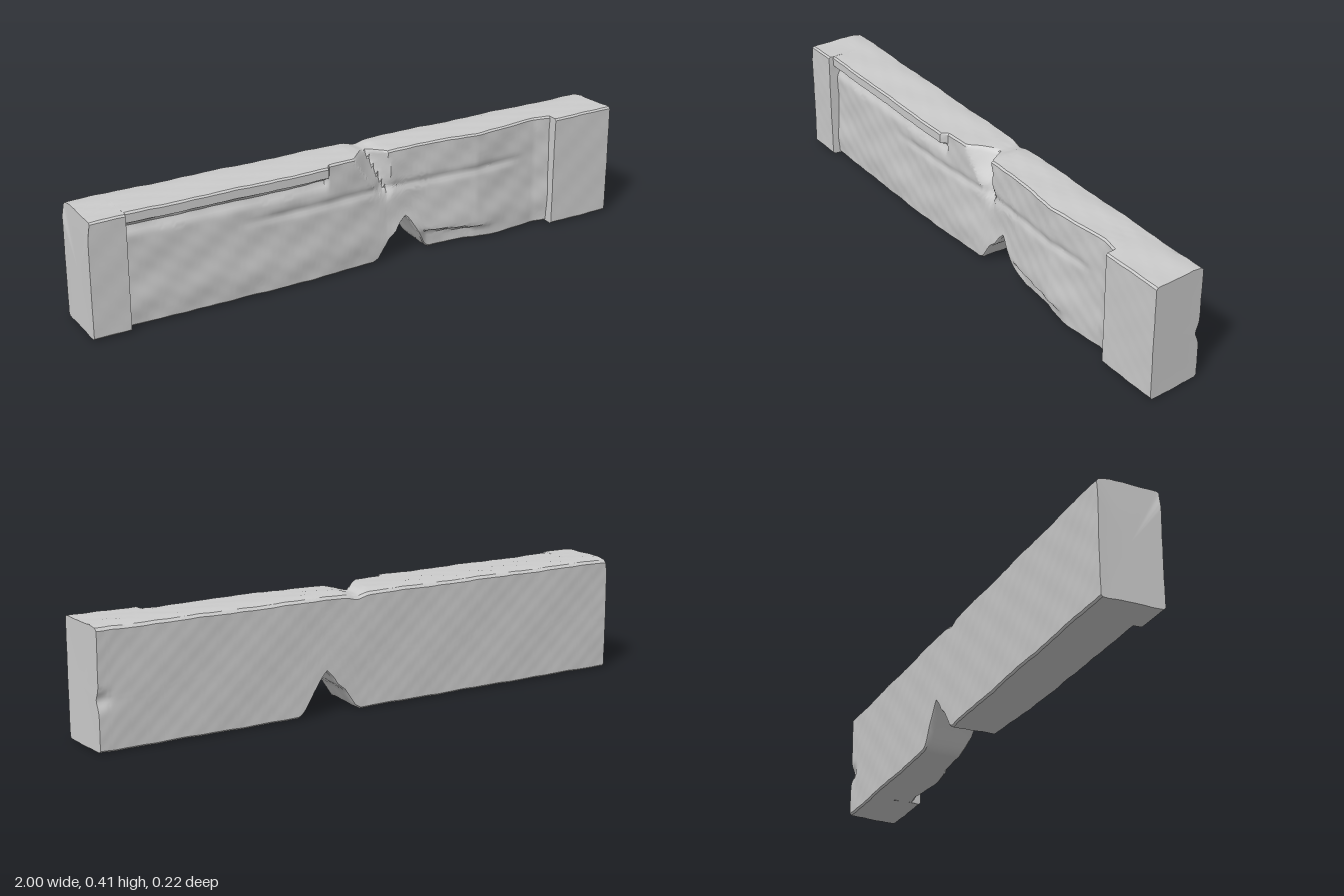
import * as THREE from 'three';
import { toCreasedNormals } from 'three/addons/utils/BufferGeometryUtils.js';

const { smoothstep, lerp } = THREE.MathUtils;
const step = (v, a, b) => smoothstep(v, a, b);
const bump = (v, centre, width) => Math.exp(-(((v - centre) / width) ** 2));

// gentle stone unevenness, made of a few waves
const rough = (a, b) =>
  (Math.sin(a * 17 + b * 9) + Math.sin(a * 41 - b * 23 + 1) * 0.6 + Math.sin(a * 83 + b * 47 + 2) * 0.4) * 0.5;

// piecewise-linear lookup through [x, value] points
function along(points, x) {
  if (x <= points[0][0]) return points[0][1];
  for (let i = 1; i < points.length; i++) {
    const [x0, v0] = points[i - 1], [x1, v1] = points[i];
    if (x <= x1) return lerp(v0, v1, (x - x0) / (x1 - x0));
  }
  return points[points.length - 1][1];
}

// underside with the broken notch
const notch = [[0.04, 0.004], [0.06, 0.015], [0.1, 0.075], [0.13, 0.1], [0.145, 0.125], [0.17, 0.15],
  [0.185, 0.135], [0.22, 0.08], [0.255, 0.02], [0.275, 0.004]];
const bottomY = (x, z) => along(notch, x) + rough(x, z * 4) * 0.002 + (0.1 - z) * -0.01;
const topY = (x, z) => 0.405 + rough(x + 3, z * 4) * 0.002 - 0.006 * step(-z, 0.05, 0.11) - 0.01 * bump(x, 0.05, 0.03);

// recessed panel between the end blocks
const panel = [[-0.87, 0.077], [-0.5, 0.079], [-0.15, 0.072], [-0.05, 0.066], [0.1, 0.052], [0.2, 0.054],
  [0.33, 0.062], [0.45, 0.07], [0.58, 0.058], [0.7, 0.05], [0.76, 0.058]];

function frontZ(x, y) {
  if (x <= -0.872) return 0.108 + rough(x, y * 2) * 0.001;
  if (x >= 0.762) return 0.089 + rough(x, y * 2) * 0.001;
  let z = along(panel, x) + rough(x * 0.8, y * 2) * 0.003;
  // weathered horizontal groove and swelling lower band
  z -= 0.007 * bump(y, 0.27, 0.014) * step(x, -0.5, -0.3) * (1 - step(x, 0.55, 0.68));
  z += 0.006 * bump(y, 0.09, 0.06);
  // overhanging lip on the left half, with an undercut below it
  const left = 1 - step(x, -0.15, -0.135);
  z -= left * 0.014 * bump(y, 0.35, 0.02);
  z = lerp(z, 0.091, left * step(y, 0.357, 0.368));
  // slanting wedge broken out of the top edge
  const t = Math.max(0, (y - 0.225) / 0.18);
  const centre = 0.045 + (0.4 - y) * 0.36;
  const d = x - centre;
  z -= 0.085 * t * Math.max(0, 1 - Math.abs(d) / (d < 0 ? 0.025 + 0.06 * t : 0.015 + 0.04 * t));
  // flaked ledge beside the notch
  const ledge = 0.085 - (x - 0.25) * 0.12;
  z -= 0.025 * step(x, 0.22, 0.27) * (1 - step(x, 0.4, 0.55)) * (1 - step(y, ledge - 0.018, ledge));
  return z;
}

const backZ = (x, y) => -0.106 + rough(x + 7, y * 2) * 0.0015 + 0.014 * bump(x, 1, 0.05) * bump(y, 0.17, 0.025);

// one closed cross-section: front up, top back, back down, underside forward
function section(x) {
  const ROWS = 40, COLS = 10, r = 0.006, ring = [];
  const fb = frontZ(x, bottomY(x, 0.08)), ft = frontZ(x, 0.4);
  for (let i = 0; i <= ROWS; i++) {
    const y = lerp(bottomY(x, fb) + r, topY(x, ft) - r, i / ROWS);
    ring.push([y, frontZ(x, y)]);
  }
  for (let i = 0; i <= COLS; i++) {
    const z = lerp(ft - r, backZ(x, 0.4) + r * 1.5, i / COLS);
    ring.push([topY(x, z), z]);
  }
  for (let i = 0; i <= ROWS; i++) {
    const y = lerp(topY(x, -0.1) - r * 1.5, bottomY(x, -0.1) + r, i / ROWS);
    ring.push([y, backZ(x, y)]);
  }
  for (let i = 0; i <= COLS; i++) {
    const z = lerp(backZ(x, 0) + r, fb - r, i / COLS);
    ring.push([bottomY(x, z), z]);
  }
  // the end faces lean slightly
  return ring.map(([y, z]) => [
    x - 0.02 * step(x, 0.9, 1) * (0.09 - z) / 0.2 + 0.008 * (1 - step(x, -1, -0.95)) * step(y, 0.34, 0.41),
    Math.max(0, y), z]);
}

function beamGeometry() {
  // even stations plus tight pairs where the end blocks step out
  const stations = [-0.872, -0.868, -0.15, -0.135, 0.758, 0.762];
  for (let i = 0; i <= 200; i++) {
    const x = -1 + i * 0.01;
    if (stations.every((s) => Math.abs(s - x) > 0.0015)) stations.push(x);
  }
  stations.sort((a, b) => a - b);
  const rings = stations.map(section);
  const n = rings[0].length, last = rings.length - 1;
  const points = rings.flat(2), index = [];
  for (let i = 0; i < last; i++) {
    for (let j = 0; j < n; j++) {
      const k = (j + 1) % n;
      const a = i * n + j, b = i * n + k, c = a + n, d = b + n;
      index.push(a, c, d, a, d, b);
    }
  }
  // end caps
  const base = points.length / 3;
  points.push(-0.998, 0.2, 0, 0.99, 0.2, 0);
  for (let j = 0; j < n; j++) {
    const k = (j + 1) % n;
    index.push(base, j, k, base + 1, last * n + k, last * n + j);
  }
  const geometry = new THREE.BufferGeometry();
  geometry.setAttribute('position', new THREE.Float32BufferAttribute(points, 3));
  geometry.setIndex(index);
  return toCreasedNormals(geometry, 0.6);
}

export function createModel() {
  const group = new THREE.Group();
  group.name = 'brokenStoneBeam';
  const beam = new THREE.Mesh(beamGeometry(), new THREE.MeshStandardMaterial({ color: 0xcccccc }));
  beam.name = 'stoneBeam';
  group.add(beam);
  return group;
}
